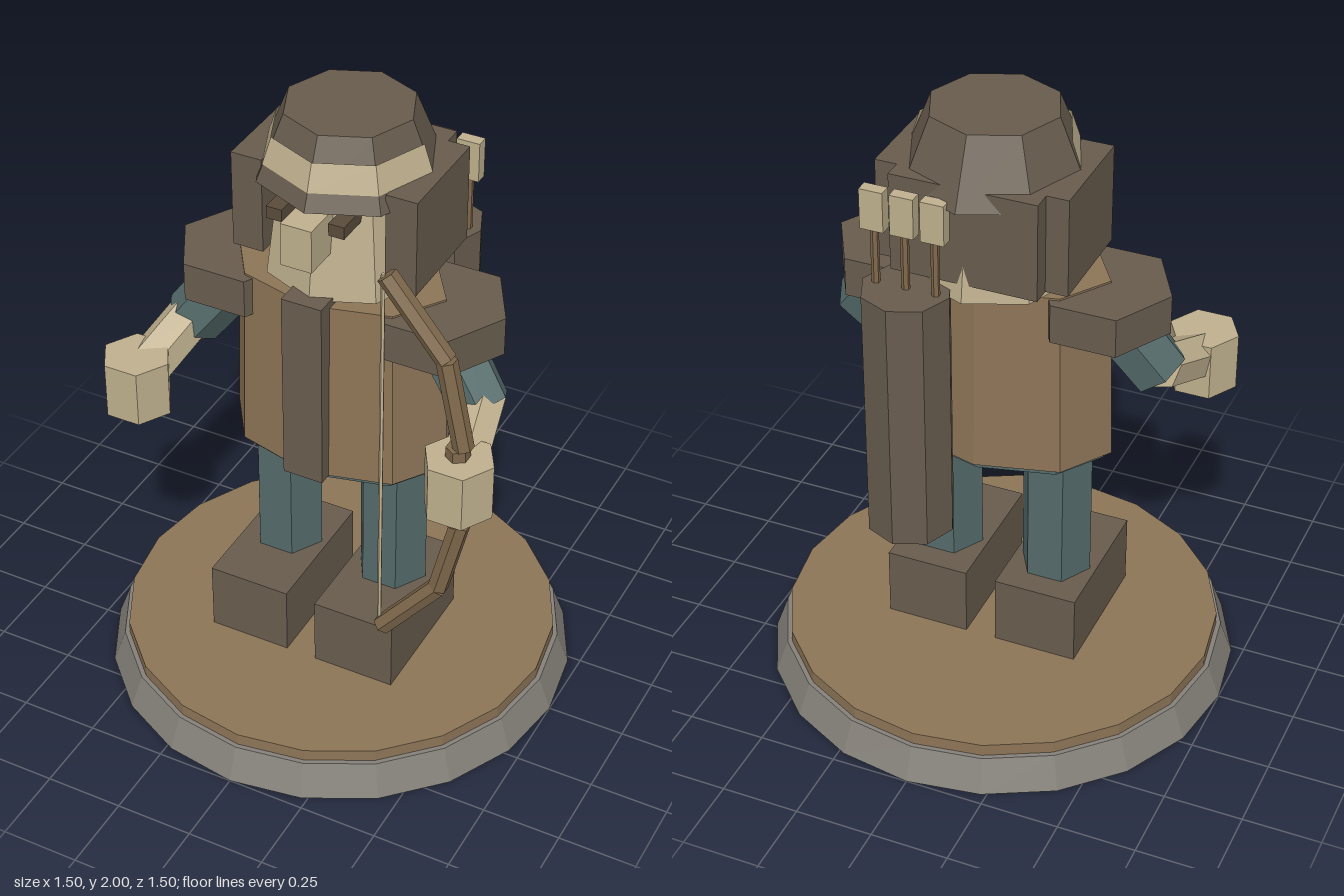
import * as THREE from 'three';

const mat = (name, color, extra = {}) => {
  const m = new THREE.MeshStandardMaterial({ color, flatShading: true, ...extra });
  m.name = name;
  return m;
};

export function createModel() {
  const stone = mat('stone grey', 0x85817a);
  const brown = mat('tunic brown', 0x8d7557);
  const leather = mat('dark leather', 0x685c4e);
  const teal = mat('teal cloth', 0x546a6a);
  const skin = mat('skin', 0xbfb08e);
  const band = mat('hood trim', 0xbfb08e, { side: THREE.DoubleSide });
  const wood = mat('bow wood', 0x80694c);
  const eyeColor = mat('eye brown', 0x5a4c3c);

  const model = new THREE.Group();
  const add = (name, geo, material, x = 0, y = 0, z = 0, parent = model) => {
    const m = new THREE.Mesh(geo, material);
    m.name = name;
    m.position.set(x, y, z);
    parent.add(m);
    return m;
  };
  // box given by its two corners
  const box = (name, material, [x0, y0, z0], [x1, y1, z1]) =>
    add(name, new THREE.BoxGeometry(x1 - x0, y1 - y0, z1 - z0), material,
      (x0 + x1) / 2, (y0 + y1) / 2, (z0 + z1) / 2);
  // upright prism between two heights; turn rotates its corners
  const prism = (name, material, rTop, rBottom, y0, y1, sides, x = 0, z = 0, turn = 0, depth = 1) => {
    const g = new THREE.CylinderGeometry(rTop, rBottom, y1 - y0, sides);
    g.rotateY(turn).scale(1, 1, depth);
    return add(name, g, material, x, (y0 + y1) / 2, z);
  };
  // straight rod between two points
  const rod = (name, material, a, b, r0, r1 = r0, sides = 6) => {
    const p = new THREE.Vector3(...a), q = new THREE.Vector3(...b);
    const m = add(name, new THREE.CylinderGeometry(r1, r0, p.distanceTo(q), sides), material);
    m.position.copy(p).lerp(q, 0.5);
    m.quaternion.setFromUnitVectors(new THREE.Vector3(0, 1, 0), q.sub(p).normalize());
    return m;
  };
  const HEX = Math.PI / 6;

  // round stand
  prism('standBase', stone, 0.71, 0.75, 0, 0.11, 20);
  prism('standTop', brown, 0.695, 0.695, 0.11, 0.15, 20);

  // body
  prism('hips', teal, 0.335, 0.335, 0.825, 0.9, 8, 0, 0, 0, 0.6);
  prism('tunic', brown, 0.345, 0.362, 0.85, 1.463, 8, 0, 0, 0, 0.62);
  box('tunicFrontStrip', leather, [-0.068, 0.85, 0.14], [0.064, 1.487, 0.25]);

  // legs, boots, shoulders and arms on both sides
  for (const s of [-1, 1]) {
    const side = s > 0 ? 'left' : 'right';
    box(side + 'Boot', leather, [s * 0.185 - 0.135, 0.15, -0.18], [s * 0.185 + 0.135, 0.38, 0.28]);
    prism(side + 'Leg', teal, 0.115, 0.115, 0.38, 0.86, 6, s * 0.185, 0, HEX);
    prism(side + 'ShoulderPad', leather, 0.205, 0.205, 1.33, 1.457, 6, s * 0.33, 0, HEX, 1.05);
    rod(side + 'UpperArm', teal, [s * 0.32, 1.39, 0], [s * 0.49, 1.16, 0.05], 0.1, 0.095);
    rod(side + 'Forearm', skin, [s * 0.49, 1.18, 0.04], [s * 0.54, 1.08, 0.3], 0.075);
    prism(side + 'Hand', skin, 0.11, 0.11, 0.98, 1.165, 6, s * 0.54, 0.305, HEX);
    // face and hood sides
    box(side + 'Eye', eyeColor, [s * 0.1 - 0.025, 1.735, 0.1], [s * 0.1 + 0.025, 1.775, 0.225]);
    box(side + 'HoodFlap', leather, [s * 0.25 - 0.05, 1.53, -0.23], [s * 0.25 + 0.05, 1.845, 0.115]);
  }

  // head and hood
  prism('head', skin, 0.2, 0.255, 1.475, 1.9, 8, 0, -0.05);
  box('nose', skin, [-0.05, 1.63, 0.12], [0.05, 1.77, 0.28]);
  box('hoodBack', leather, [-0.23, 1.53, -0.29], [0.23, 1.845, -0.15]);
  prism('hoodTop', leather, 0.2, 0.285, 1.79, 2, 8, 0, -0.055);
  const trim = new THREE.CylinderGeometry(0.237, 0.265, 0.085, 4, 1, true, -Math.PI / 2, Math.PI);
  add('hoodTrim', trim, band, 0, 1.888, -0.055);

  // bow: limbs, grip and string
  const bow = [[0.3, 1.72], [0.49, 1.49], [0.552, 1.2], [0.55, 0.92], [0.485, 0.65], [0.3, 0.42]];
  for (let i = 0; i < 5; i++) {
    const [a, b] = [bow[i], bow[i + 1]];
    rod(i === 2 ? 'bowGrip' : 'bowLimb', wood, [i === 2 ? 0.535 : a[0], a[1], 0.305],
      [i === 2 ? 0.535 : b[0], b[1], 0.305], i === 2 ? 0.037 : 0.032);
  }
  rod('bowString', skin, [0.289, 0.42, 0.305], [0.289, 1.72, 0.305], 0.007, 0.007, 5);

  // quiver with three arrows
  prism('quiver', leather, 0.138, 0.138, 0.665, 1.5, 8, 0.165, -0.325);
  for (const x of [0.07, 0.165, 0.26]) {
    rod('arrowShaft', wood, [x, 1.45, -0.325], [x, 1.7, -0.325], 0.013);
    box('arrowFletching', skin, [x - 0.037, 1.68, -0.345], [x + 0.037, 1.81, -0.305]);
  }
  return model;
}
